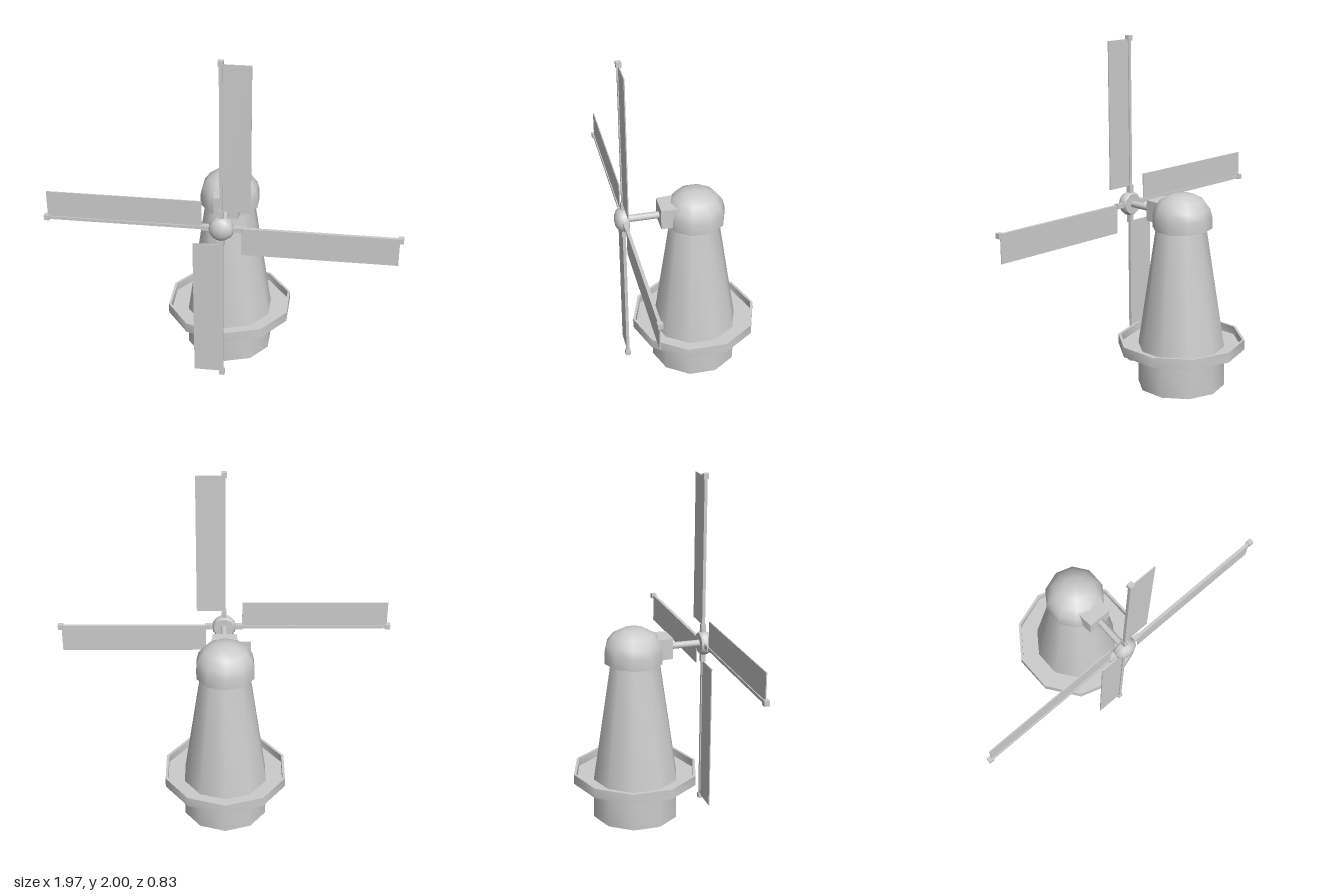
import * as THREE from 'three';
import { toCreasedNormals } from 'three/addons/utils/BufferGeometryUtils.js';

const SIDES = 10;
const material = new THREE.MeshStandardMaterial({ color: 0xcccccc });
const openMaterial = new THREE.MeshStandardMaterial({ color: 0xcccccc, side: THREE.DoubleSide });

function addMesh(parent, name, geometry, x = 0, y = 0, z = 0, mat = material) {
  const mesh = new THREE.Mesh(geometry, mat);
  mesh.name = name;
  mesh.position.set(x, y, z);
  parent.add(mesh);
}

// Turned part: smooth around, sharp at the profile corners
function turned(points, sides = SIDES) {
  const profile = points.map(([r, y]) => new THREE.Vector2(r, y));
  return toCreasedNormals(new THREE.LatheGeometry(profile, sides), 0.75);
}

function createSail() {
  const sail = new THREE.Group();
  addMesh(sail, 'sailSpar', new THREE.BoxGeometry(0.018, 0.96, 0.018), 0, 0.48, 0);
  addMesh(sail, 'sparSocket', new THREE.BoxGeometry(0.028, 0.09, 0.028), 0, 0.068, 0);
  addMesh(sail, 'sparTip', new THREE.BoxGeometry(0.03, 0.03, 0.03), 0, 0.97, 0);
  addMesh(sail, 'sailPanel', new THREE.BoxGeometry(0.155, 0.857, 0.006), 0.083, 0.536, 0);
  return sail;
}

export function createModel() {
  const windmill = new THREE.Group();
  windmill.name = 'windmill';

  // Tower, set slightly behind the sails; hollow and open underneath
  const tower = new THREE.Group();
  tower.name = 'tower';
  tower.position.set(-0.006, 0, -0.047);
  windmill.add(tower);
  addMesh(tower, 'base', turned([[0.253, 0], [0.253, 0.23]]), 0, 0, 0, openMaterial);
  addMesh(tower, 'towerBody', turned([[0.253, 0.23], [0.145, 0.945]]), 0, 0, 0, openMaterial);

  // Gallery: a tray with a low rim
  addMesh(tower, 'gallery', turned([
    [0.24, 0.226], [0.37, 0.226], [0.37, 0.285], [0.355, 0.285], [0.355, 0.238], [0.24, 0.238],
  ]));

  // Domed cap with a narrow collar beneath
  addMesh(tower, 'capCollar', turned([[0, 0.935], [0.152, 0.935], [0.152, 0.95]]));
  addMesh(tower, 'cap', turned([
    [0.13, 0.947], [0.172, 0.947], [0.172, 1.01], [0.16, 1.06],
    [0.125, 1.107], [0.07, 1.137], [0, 1.147],
  ]), 0, 0, -0.008);

  // Shaft housing, slightly narrower toward the front
  const housing = new THREE.BoxGeometry(0.165, 0.122, 0.16);
  const p = housing.attributes.position;
  for (let i = 0; i < p.count; i++) if (p.getZ(i) > 0) p.setX(i, p.getX(i) * 0.84);
  housing.computeVertexNormals();
  addMesh(windmill, 'shaftHousing', housing, -0.003, 1.021, 0.079);

  // Shaft
  const shaft = new THREE.CylinderGeometry(0.02, 0.02, 0.22, SIDES).rotateX(Math.PI / 2);
  addMesh(windmill, 'shaft', shaft, 0, 1.015, 0.245);

  // Rotor: half-round hub with four sails
  const rotor = new THREE.Group();
  rotor.name = 'rotor';
  rotor.position.set(0, 1.015, 0.362);
  windmill.add(rotor);
  addMesh(rotor, 'hub', turned([
    [0, -0.025], [0.06, -0.025], [0.07, -0.01], [0.07, 0.01],
    [0.06, 0.033], [0.035, 0.048], [0, 0.054],
  ], 16).rotateX(Math.PI / 2));
  for (let i = 0; i < 4; i++) {
    const sail = createSail();
    sail.name = `sail${i + 1}`;
    sail.rotation.z = -i * Math.PI / 2;
    rotor.add(sail);
  }
  return windmill;
}
